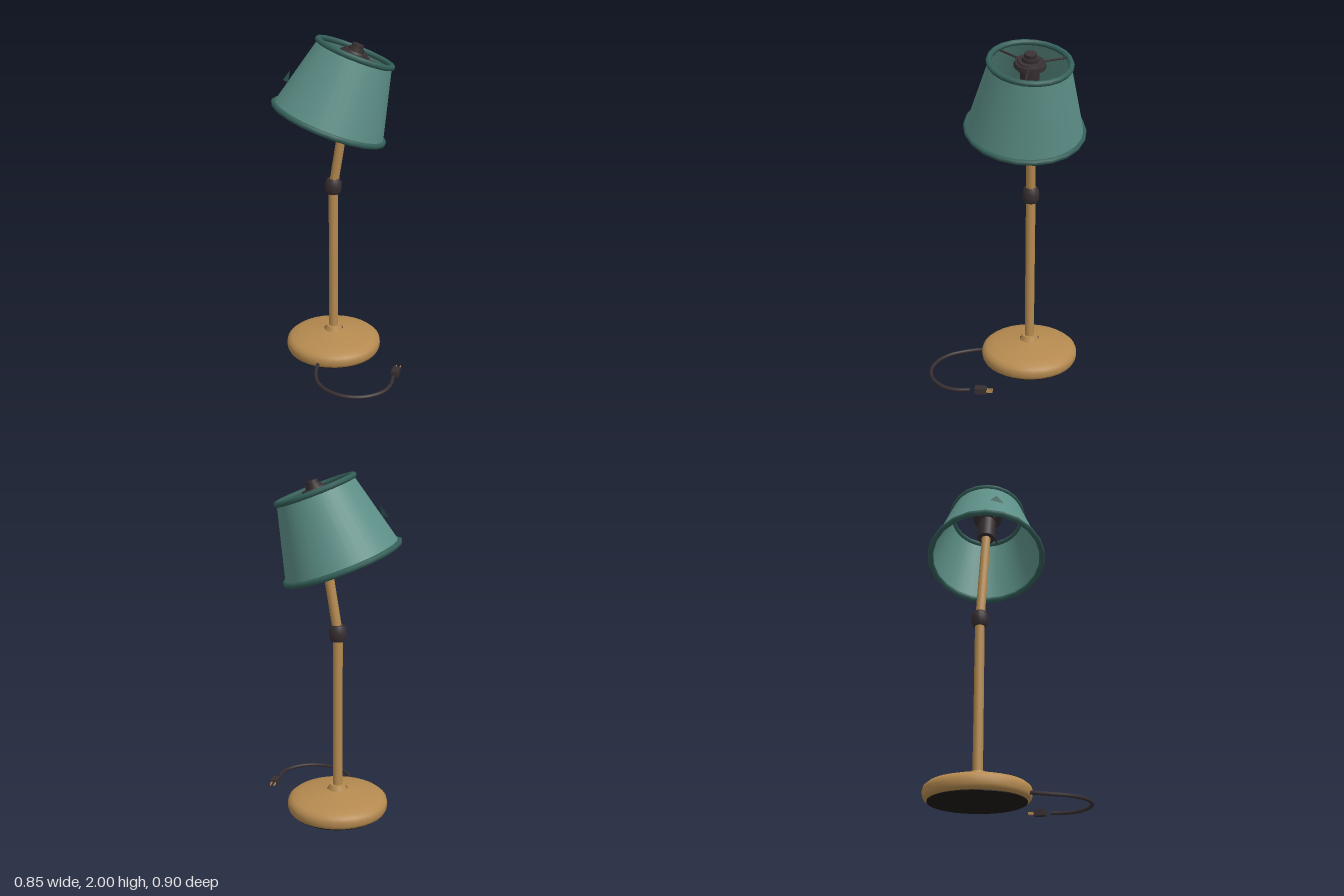
import * as THREE from 'three';

const V = (x, y, z) => new THREE.Vector3(x, y, z);
const UP = V(0, 1, 0);

export function createModel() {
  const root = new THREE.Group();
  const material = (name, color, extra = {}) => {
    const m = new THREE.MeshStandardMaterial({ color, ...extra });
    m.name = name;
    return m;
  };
  const brass = material('brass', 0xb58a50);
  const dark = material('dark fittings', 0x382f31);
  const felt = material('black felt', 0x1c1a18);
  const teal = material('teal shade', 0x5d9088, { side: THREE.DoubleSide });
  const trim = material('dark teal trim', 0x345f59, { side: THREE.DoubleSide });

  const add = (name, geo, mat, parent = root, pos = null) => {
    const mesh = new THREE.Mesh(geo, mat);
    mesh.name = name;
    if (pos) mesh.position.copy(pos);
    parent.add(mesh);
    return mesh;
  };
  // Each profile is split into smooth runs, so corners between runs stay sharp
  const lathe = (points, seg) =>
    new THREE.LatheGeometry(points.map(([r, y]) => new THREE.Vector2(r, y)), seg);
  // Cylinder between two points
  const rod = (name, a, b, r, mat, parent = root, seg = 16) => {
    const mesh = add(name, new THREE.CylinderGeometry(r, r, a.distanceTo(b), seg), mat, parent,
      a.clone().add(b).multiplyScalar(0.5));
    mesh.quaternion.setFromUnitVectors(UP, b.clone().sub(a).normalize());
    return mesh;
  };

  // Weighted base, collar and post
  const cx = -0.07, cz = -0.132;
  const stand = new THREE.Group();
  stand.name = 'stand';
  stand.position.set(cx, 0, cz);
  root.add(stand);
  add('baseSide', lathe([[0.272, 0.004], [0.29, 0.014], [0.298, 0.03], [0.3, 0.055], [0.294, 0.078],
    [0.272, 0.096], [0.22, 0.112], [0.14, 0.126], [0.06, 0.14]], 32), brass, stand);
  add('baseCollar', new THREE.CylinderGeometry(0.045, 0.06, 0.035, 24), brass, stand, V(0, 0.15, 0));
  add('baseFelt', new THREE.CylinderGeometry(0.273, 0.273, 0.006, 32), felt, stand, V(0, 0.003, 0));
  rod('lowerPost', V(0, 0.1, 0), V(0, 1.08, 0), 0.029, brass, stand);

  // Tilting joint
  const joint = [[0.038, 1.05], [0.049, 1.07], [0.051, 1.1], [0.049, 1.125], [0.038, 1.145]];
  add('tiltJoint', lathe(joint, 16), dark, stand);
  for (const [y, turn] of [[1.145, -1], [1.05, 1]]) {
    add('jointCap', new THREE.CircleGeometry(0.038, 16).rotateX(turn * Math.PI / 2), dark, stand, V(0, y, 0));
  }

  // Leaning arm and lamp socket
  const armAt = (y) => V(cx + (y - 1.1) * 0.163, y, cz);
  rod('upperArm', armAt(1.1), armAt(1.76), 0.028, brass);
  rod('lampSocket', armAt(1.72), armAt(1.88), 0.055, dark, root, 20);

  // Shade, tilted between its two rim centres
  const low = V(-0.09, 1.485, -0.09), high = V(0.068, 1.92, -0.137);
  const L = low.distanceTo(high);
  const shade = new THREE.Group();
  shade.name = 'shade';
  shade.position.copy(low);
  shade.quaternion.setFromUnitVectors(UP, high.clone().sub(low).normalize());
  root.add(shade);
  add('shadeWall', lathe([[0.342, 0.018], [0.226, L - 0.018]], 40), teal, shade);
  const rim = (name, r, y) =>
    add(name, new THREE.TorusGeometry(r, 0.017, 8, 22).rotateX(Math.PI / 2), trim, shade, V(0, y, 0));
  rim('lowerRim', 0.343, 0.018);
  rim('upperRim', 0.228, L - 0.018);

  // Spokes holding the shade
  const spokeY = L - 0.025;
  for (let i = 0; i < 3; i++) {
    const a = i * Math.PI * 2 / 3;
    rod('shadeSpoke', V(0, spokeY, 0), V(Math.cos(a) * 0.225, spokeY, Math.sin(a) * 0.225), 0.006, dark, shade, 8);
  }

  // Stepped hub and finial: radius, bottom, top measured from the shade top
  const steps = [[0.06, -0.075, -0.04], [0.092, -0.04, -0.016], [0.074, -0.016, -0.006],
    [0.048, -0.006, 0.014], [0.036, 0.014, 0.036]];
  for (const [r, a, b] of steps) {
    add('hubStep', new THREE.CylinderGeometry(r * 0.93, r, b - a, 20), dark, shade, V(0, L + (a + b) / 2, 0));
  }

  // Small loose flap standing off the shade
  const flap = new THREE.BufferGeometry().setFromPoints(
    [V(-0.33, 1.75, 0.005), V(-0.27, 1.75, 0.075), V(-0.275, 1.812, 0.03)]);
  flap.computeVertexNormals();
  add('shadeFlap', flap, trim);

  // Cord curling round to the plug
  const path = new THREE.CatmullRomCurve3([
    V(-0.075, 0.035, 0.15), V(-0.07, 0.03, 0.2), V(-0.047, 0.024, 0.28), V(0, 0.022, 0.36),
    V(0.08, 0.022, 0.42), V(0.19, 0.022, 0.444), V(0.3, 0.022, 0.412), V(0.385, 0.022, 0.325),
    V(0.407, 0.024, 0.24), V(0.402, 0.028, 0.165)]);
  add('cord', new THREE.TubeGeometry(path, 60, 0.011, 8), dark);
  for (const [t, turn] of [[0, Math.PI], [1, 0]]) {
    add('cordEnd', new THREE.CircleGeometry(0.011, 8), dark, root, path.getPointAt(t))
      .quaternion.setFromUnitVectors(V(0, 0, 1), path.getTangentAt(t).multiplyScalar(turn ? -1 : 1));
  }

  // Plug and its two prongs
  add('plugBody', new THREE.BoxGeometry(0.044, 0.035, 0.069), dark, root, V(0.403, 0.032, 0.1));
  for (const s of [-1, 1]) {
    add('plugProng', new THREE.BoxGeometry(0.005, 0.012, 0.04), brass, root, V(0.403 + s * 0.0125, 0.032, 0.05));
  }
  return root;
}
